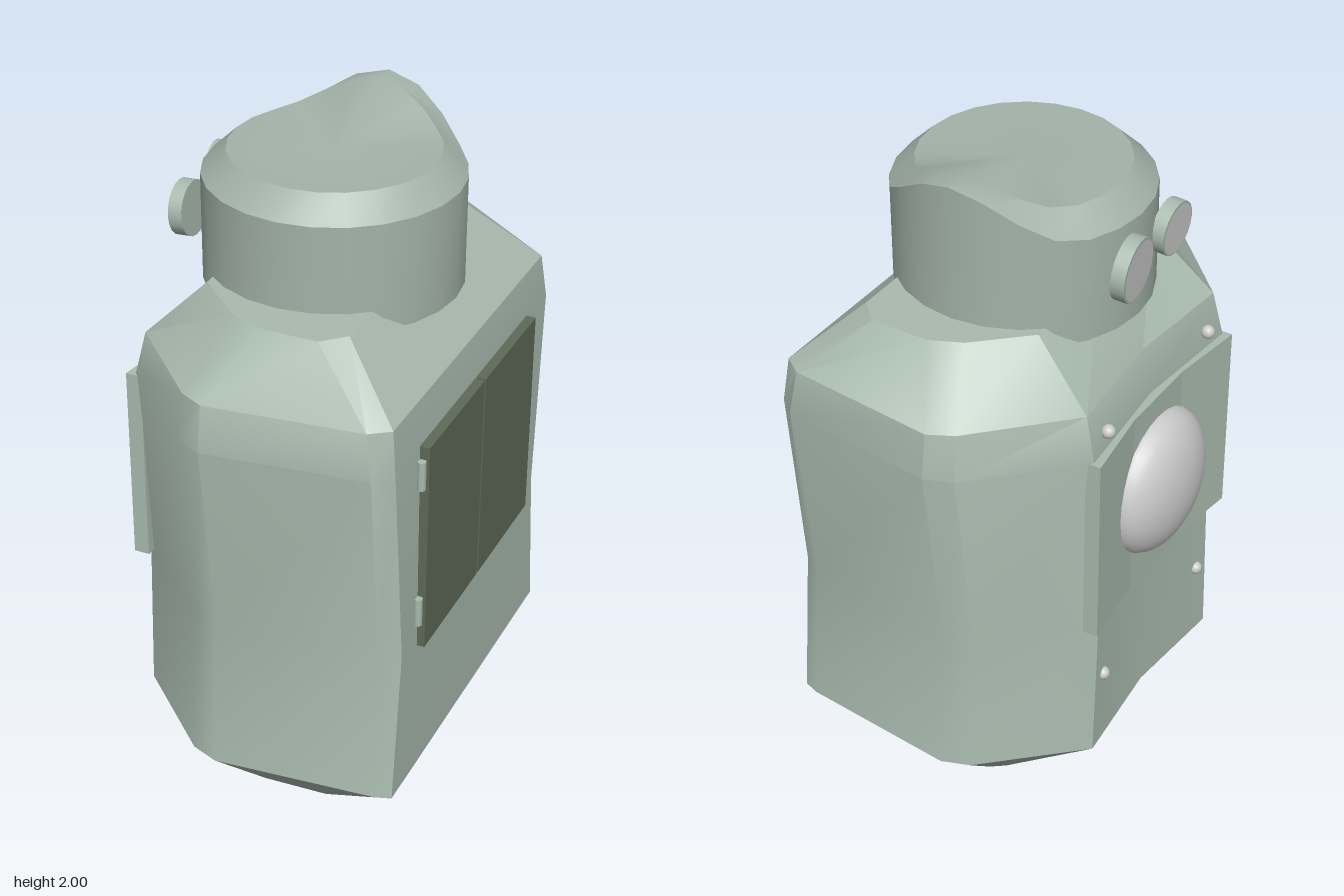
import * as THREE from 'three';
import { toCreasedNormals } from 'three/addons/utils/BufferGeometryUtils.js';

const green = new THREE.MeshStandardMaterial({ color: 0xa9bbaf });
const headGreen = new THREE.MeshStandardMaterial({ color: 0xa3b3a9 });
const olive = new THREE.MeshStandardMaterial({ color: 0x5f6a58 });
const grey = new THREE.MeshStandardMaterial({ color: 0xcccccc });

// Skins stacked rings of [x, y, z] points and closes both ends with fans
function loft(rings, bottom, top, crease) {
  const n = rings[0].length, pos = [];
  const tri = (...points) => points.forEach((p) => pos.push(...p));
  for (let j = 0; j < n; j++) {
    const k = (j + 1) % n;
    for (let i = 0; i < rings.length - 1; i++) {
      const [a, b, c, d] = [rings[i][j], rings[i][k], rings[i + 1][k], rings[i + 1][j]];
      tri(a, b, c);
      tri(a, c, d);
    }
    tri(bottom, rings[0][k], rings[0][j]);
    tri(top, rings[rings.length - 1][j], rings[rings.length - 1][k]);
  }
  const geo = new THREE.BufferGeometry();
  geo.setAttribute('position', new THREE.Float32BufferAttribute(pos, 3));
  geo.computeVertexNormals();
  return toCreasedNormals(geo, crease);
}

function add(group, name, geo, mat, x = 0, y = 0, z = 0) {
  const mesh = new THREE.Mesh(geo, mat);
  mesh.name = name;
  mesh.position.set(x, y, z);
  group.add(mesh);
  return mesh;
}

// Waisted body: half sections [x, z], mirrored over z, with a shallow fold on the -x face
function bodyGeometry() {
  const levels = [
    [0, -0.11, [[-0.13, 0.15], [-0.07, 0.29], [-0.03, 0.32], [0.16, 0.31], [0.205, 0.28]]],
    [0.27, -0.36, [[-0.39, 0.33], [-0.13, 0.57], [-0.05, 0.6], [0.42, 0.555], [0.465, 0.54]]],
    [0.72, -0.36, [[-0.39, 0.31], [-0.13, 0.54], [-0.05, 0.57], [0.41, 0.52], [0.465, 0.49]]],
    [1.31, -0.36, [[-0.39, 0.35], [-0.13, 0.61], [-0.05, 0.64], [0.41, 0.585], [0.46, 0.545]]],
    [1.44, -0.33, [[-0.36, 0.34], [-0.12, 0.585], [-0.05, 0.62], [0.39, 0.57], [0.445, 0.53]]],
    [1.61, -0.19, [[-0.19, 0.3], [-0.05, 0.43], [0.04, 0.47], [0.21, 0.47], [0.27, 0.41]]],
  ];
  const rings = levels.map(([y, fold, half]) => [
    [fold, y, 0],
    ...half.map(([x, z]) => [x, y, z]),
    ...[...half].reverse().map(([x, z]) => [x, y, -z]),
  ]);
  return loft(rings, [0.04, 0, 0], [0.04, 1.61, 0], 0.52);
}

// Round head with a chamfered rim that swells into a crest at the back
function headGeometry() {
  const sides = 24;
  const ring = (r, y, rise) => Array.from({ length: sides }, (_, i) => {
    const a = (i / sides) * Math.PI * 2; // measured from the back
    const off = Math.min(a, Math.PI * 2 - a);
    const swell = off < 1 ? Math.cos((off * Math.PI) / 2) ** 2 : 0;
    return [0.04 - r * Math.sin(a), y + rise * swell, -r * Math.cos(a)];
  });
  const rings = [ring(0.3, 1.54, 0), ring(0.355, 1.55, 0), ring(0.355, 1.855, 0.145), ring(0.287, 1.92, 0.08)];
  return loft(rings, [0.04, 1.54, 0], [0.04, 1.92, 0], 0.5);
}

// Folded plate that follows the -x face
function plateGeometry() {
  const s = new THREE.Shape();
  [[-0.415, 0.36], [-0.385, 0.13], [-0.385, -0.13], [-0.415, -0.36], [-0.37, -0.36], [-0.35, 0], [-0.37, 0.36]]
    .forEach(([x, z], i) => (i ? s.lineTo(x, -z) : s.moveTo(x, -z)));
  return new THREE.ExtrudeGeometry(s, { depth: 0.58, bevelEnabled: false }).rotateX(-Math.PI / 2);
}

export function createModel() {
  const model = new THREE.Group();
  model.name = 'canister';
  add(model, 'body', bodyGeometry(), green);
  add(model, 'head', headGeometry(), headGreen);

  // Lens and its mounting plate
  add(model, 'lensPlate', plateGeometry(), green, 0, 0.73, 0);
  const lens = new THREE.SphereGeometry(1, 28, 10, 0, Math.PI * 2, 0, Math.PI / 2).rotateZ(Math.PI / 2);
  lens.scale(0.11, 0.215, 0.215);
  add(model, 'lens', lens, grey, -0.38, 1.025, 0);

  // Rivets above and below the plate
  for (const y of [0.515, 1.36])
    for (const z of [-0.27, 0.27])
      add(model, 'rivet', new THREE.SphereGeometry(0.02, 12, 8), grey, -0.385, y, z);

  // Two round eyes on the head
  const eyes = [[-0.333, -0.078, 0.09, 0.09], [-0.318, 0.155, 0.077, 0]];
  for (const [x, z, r, turn] of eyes) {
    const eye = new THREE.Group();
    eye.name = 'eye';
    eye.position.set(x, 1.738, z);
    eye.rotation.set(0, turn, 0.06);
    add(eye, 'eyeRim', new THREE.CylinderGeometry(r, r, 0.04, 20).rotateZ(Math.PI / 2), green);
    add(eye, 'eyeFace', new THREE.CircleGeometry(r * 0.93, 20).rotateY(-Math.PI / 2), grey, -0.0215, 0, 0);
    model.add(eye);
  }

  // Double doors with hinges on the +x face
  for (const side of [-1, 1]) {
    add(model, 'door', new THREE.BoxGeometry(0.03, 0.63, 0.382), olive, 0.472, 1.005, side * 0.195);
    for (const y of [0.81, 1.24])
      add(model, 'hinge', new THREE.CylinderGeometry(0.012, 0.012, 0.085, 10), green, 0.47, y, side * 0.396);
  }
  return model;
}
